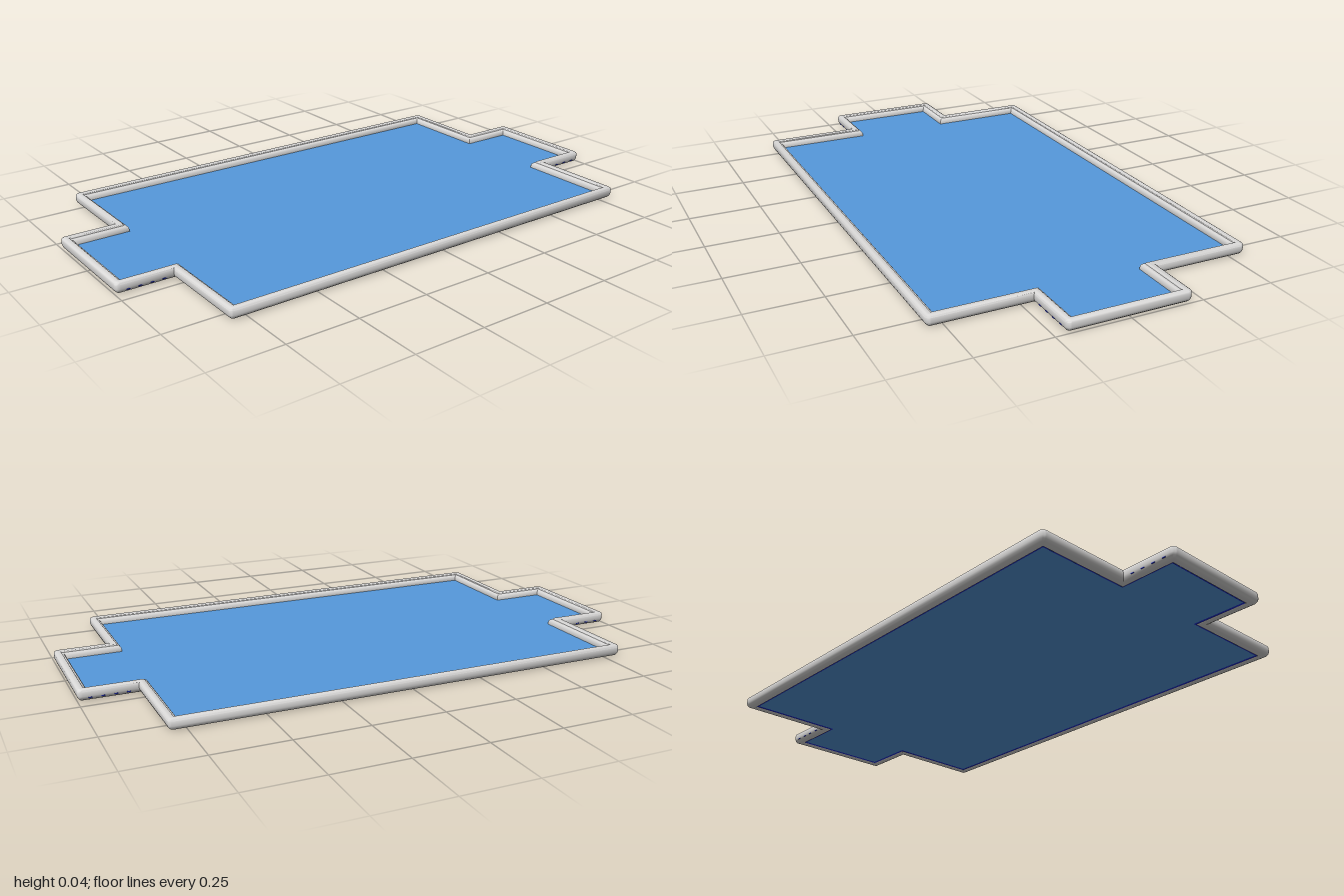
import * as THREE from 'three';
import { toCreasedNormals } from 'three/addons/utils/BufferGeometryUtils.js';

// Cross-shaped outline, counter-clockwise: [x, y, isInnerCorner]
const CORNERS = [
  [1, -0.213], [1, 0.213], [0.807, 0.213, true], [0.807, 0.554],
  [-0.807, 0.554], [-0.807, 0.213, true], [-1, 0.213], [-1, -0.213],
  [-0.807, -0.213, true], [-0.807, -0.554], [0.807, -0.554], [0.807, -0.213, true],
];
const CORNER_RADIUS = 0.016;

// Outline moved inwards by a distance, with rounded outer corners
function outline(inset) {
  const points = [];
  const r = Math.max(CORNER_RADIUS - inset, 0);
  for (const [x, y, inner] of CORNERS) {
    const sx = Math.sign(x), sy = Math.sign(y);
    if (inner || r === 0) {
      // Repeated points keep every ring the same length
      for (let k = 0; k < (inner ? 1 : 5); k++) {
        points.push(new THREE.Vector2(x - sx * inset, y - sy * inset));
      }
      continue;
    }
    const cx = x - sx * (inset + r), cy = y - sy * (inset + r);
    const mid = Math.atan2(sy, sx);
    for (let k = -2; k <= 2; k++) {
      const a = mid + (k * Math.PI) / 8;
      points.push(new THREE.Vector2(cx + r * Math.cos(a), cy + r * Math.sin(a)));
    }
  }
  return points;
}

// Rim section: [inset, height], from the rounded underside up the outer wall and down the stepped inner one
const RIM_PROFILE = [
  [0.034, 0.006], [0.03, 0.002], [0.024, 0], [0.016, 0], [0.009, 0.003], [0.003, 0.009], [0, 0.017],
  [0, 0.032], [0.002, 0.037], [0.007, 0.04],
  [0.02, 0.04], [0.023, 0.038], [0.024, 0.034],
  [0.031, 0.032], [0.035, 0.027], [0.037, 0.012],
];
// Narrow band joining the rim to the underside of the floor
const TRIM_PROFILE = [[0.039, 0.0065], [0.033, 0.0045]];

// Sweeps a section around the outline
function sweep(profile, closed) {
  const rings = profile.map(([inset]) => outline(inset));
  const n = rings[0].length, m = profile.length;
  const positions = [], index = [];
  rings.forEach((ring, j) => ring.forEach((p) => positions.push(p.x, p.y, profile[j][1])));
  for (let j = 0; j < (closed ? m : m - 1); j++) {
    for (let i = 0; i < n; i++) {
      const i2 = (i + 1) % n, j2 = (j + 1) % m;
      const a = j * n + i, b = j * n + i2, c = j2 * n + i2, d = j2 * n + i;
      index.push(a, b, c, a, c, d);
    }
  }
  const g = new THREE.BufferGeometry();
  g.setAttribute('position', new THREE.Float32BufferAttribute(positions, 3));
  g.setIndex(index);
  g.rotateX(-Math.PI / 2);
  return toCreasedNormals(g, 0.8);
}

export function createModel() {
  const model = new THREE.Group();
  model.name = 'tray';
  const rimGrey = new THREE.MeshStandardMaterial({ name: 'rimGrey', color: 0xdad9d8 });
  const floorBlue = new THREE.MeshStandardMaterial({ name: 'floorBlue', color: 0x5699dc });
  const deepBlue = new THREE.MeshStandardMaterial({ name: 'deepBlue', color: 0x2030d8 });

  const add = (name, geometry, material, x = 0, y = 0, z = 0) => {
    const mesh = new THREE.Mesh(geometry, material);
    mesh.name = name;
    mesh.position.set(x, y, z);
    model.add(mesh);
  };

  // Raised border and the band beneath it
  add('rim', sweep(RIM_PROFILE, true), rimGrey);
  add('lowerTrim', sweep(TRIM_PROFILE, false), deepBlue);

  // Flat floor slab inside the border
  const slab = new THREE.ExtrudeGeometry(new THREE.Shape(outline(0.0355)), {
    depth: 0.007, bevelEnabled: false,
  });
  slab.rotateX(-Math.PI / 2);
  add('floor', slab, floorBlue, 0, 0.0065, 0);

  // Thin dashes low on the sides of the two wings
  for (const sx of [-1, 1]) {
    for (const sz of [-1, 1]) {
      for (const x of [0.84, 0.88, 0.92, 0.96]) {
        add('wingDash', new THREE.BoxGeometry(0.012, 0.003, 0.003), deepBlue, sx * x, 0.012, sz * 0.2115);
      }
    }
  }

  return model;
}
